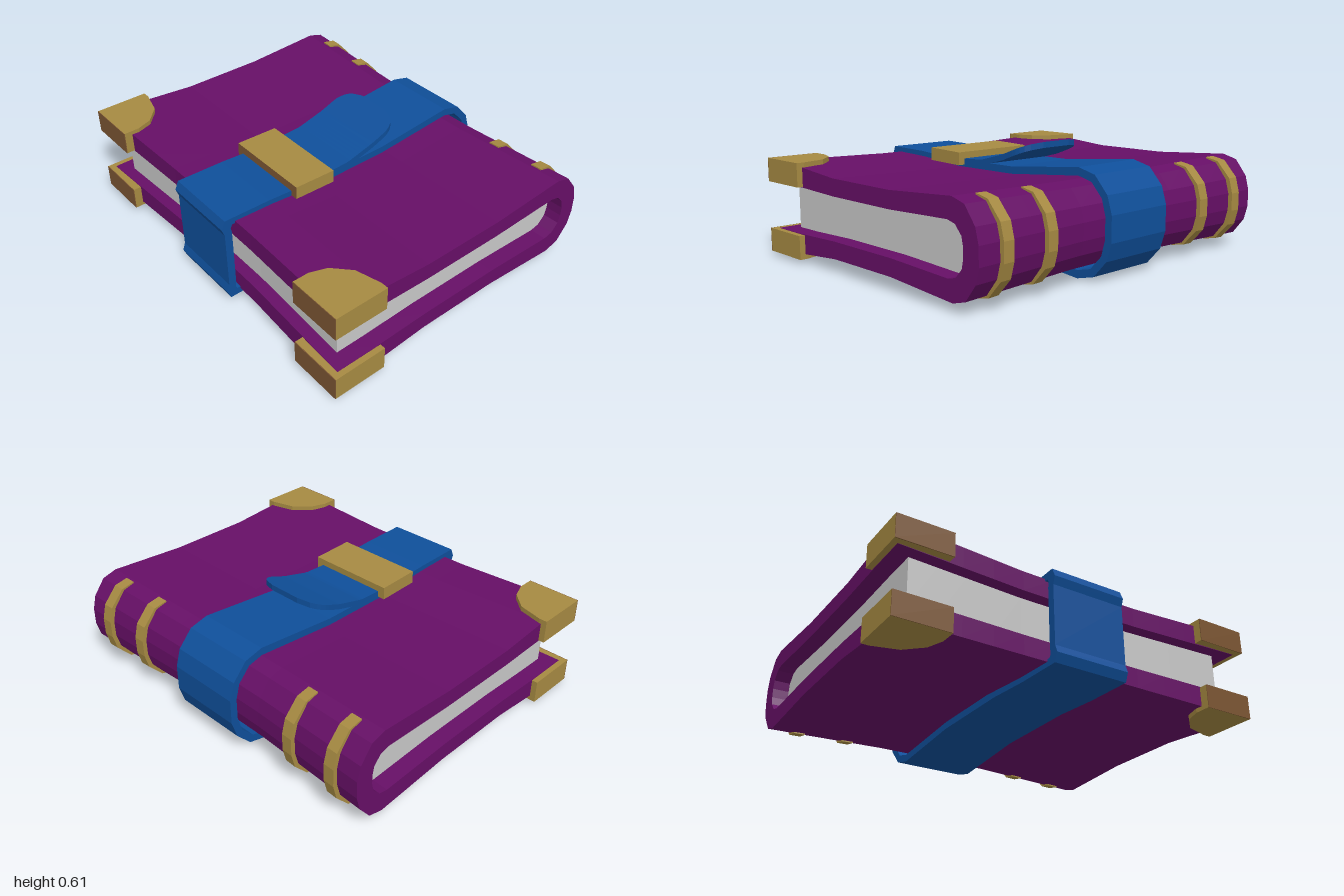
import * as THREE from 'three';

const MID = 0.265; // height of the book's horizontal mirror plane

const mat = (name, color, extra = {}) => {
  const m = new THREE.MeshStandardMaterial({ color, flatShading: true, ...extra });
  m.name = name;
  return m;
};

// Upper half of a (z, y) outline followed by its mirror below MID
const mirrored = pts => [
  ...pts,
  ...[...pts].reverse().map(([z, y]) => [z, 2 * MID - y]),
];

const vectors = pts => pts.map(([a, b]) => new THREE.Vector2(a, b));

// Extrude a (z, y) outline along x, centred on x = cx
function sweep(outline, width, steps = 1, cx = 0, hole = null) {
  const shape = new THREE.Shape(vectors(outline));
  if (hole) shape.holes.push(new THREE.Path(vectors(hole)));
  const geo = new THREE.ExtrudeGeometry(shape, { depth: width, steps, bevelEnabled: false });
  geo.translate(0, 0, -width / 2);
  geo.rotateY(-Math.PI / 2);
  geo.translate(cx, 0, 0);
  return geo;
}

// Pinch the book towards its middle, where the strap squeezes it
function pinch(geo) {
  const p = geo.attributes.position;
  for (let i = 0; i < p.count; i++) {
    const t = THREE.MathUtils.clamp((Math.abs(p.getX(i)) - 0.3) / 0.67, 0, 1);
    p.setY(i, MID + (p.getY(i) - MID) * (0.93 + 0.07 * t));
    p.setZ(i, p.getZ(i) * (0.965 + 0.035 * t));
  }
  geo.computeVertexNormals();
  return geo;
}

// Piecewise linear height along z
function heightAt(path, z) {
  for (let i = 0; i < path.length - 1; i++) {
    const [z0, y0] = path[i], [z1, y1] = path[i + 1];
    if (z >= z0 && z <= z1) return y0 + (y1 - y0) * (z - z0) / (z1 - z0);
  }
  return z < path[0][0] ? path[0][1] : path[path.length - 1][1];
}

// Loose strap end: a thin slab, bent upwards and rounded at its tip
function tongueGeometry() {
  const z0 = -0.285, z1 = 0.25, r = 0.11;
  const geo = new THREE.BoxGeometry(0.4, 0.03, z1 - z0, 1, 1, 24);
  geo.translate(0, 0, (z0 + z1) / 2);
  const path = [[z0, 0.595], [-0.1, 0.525], [0.06, 0.483], [z1, 0.475]];
  const p = geo.attributes.position;
  for (let i = 0; i < p.count; i++) {
    const z = p.getZ(i), d = Math.min(Math.max(z - z0, 0), r);
    const half = 0.2 - r + Math.sqrt(r * r - (r - d) * (r - d));
    p.setX(i, Math.sign(p.getX(i)) * half);
    p.setY(i, p.getY(i) + heightAt(path, z));
  }
  geo.computeVertexNormals();
  return geo;
}

export function createModel() {
  const group = new THREE.Group();
  const purple = mat('purple leather', 0x660f66);
  const blue = mat('blue strap', 0x0f4f9a);
  const gold = mat('gold metal', 0xa68a42);
  const bronze = mat('bronze metal', 0x7c5633);
  const paper = mat('paper', 0xc8c8c8);

  const add = (name, geo, material) => {
    const mesh = new THREE.Mesh(geo, material);
    mesh.name = name;
    group.add(mesh);
    return mesh;
  };

  // Cover: one C-shaped section swept across the book
  const outer = [[0.775, 0.495], [0.55, 0.487], [0.25, 0.462], [-0.2, 0.462], [-0.63, 0.49],
    [-0.71, 0.468], [-0.775, 0.385], [-0.795, 0.31]];
  const inner = [[0.775, 0.387], [0.55, 0.385], [0.25, 0.375], [-0.2, 0.375], [-0.6, 0.39],
    [-0.65, 0.378], [-0.69, 0.335], [-0.7, 0.29]];
  const coverOutline = [...mirrored(outer), ...mirrored(inner).reverse()];
  add('cover', pinch(sweep(coverOutline, 1.94, 12)), purple);

  // Page block fills the inside of the cover
  const pageHalf = [[0.71, 0.388], ...inner.slice(1)];
  add('pages', pinch(sweep(mirrored(pageHalf), 1.77, 12)), paper);

  // Raised bands across the spine
  const bandOuter = [[-0.645, 0.493], [-0.72, 0.478], [-0.797, 0.392], [-0.818, 0.312]];
  const bandInner = [[-0.645, 0.475], [-0.7, 0.455], [-0.76, 0.38], [-0.78, 0.31]];
  const bandOutline = [...mirrored(bandOuter), ...mirrored(bandInner).reverse()];
  for (const x of [-0.82, -0.55, 0.55, 0.82]) {
    add('spineBand', pinch(sweep(bandOutline, 0.06, 1, x)), gold);
  }

  // Metal corners on both boards, with bronze front faces
  const corner = [[1, 0.525], [0.96, 0.525], [0.83, 0.56], [0.745, 0.64], [0.715, 0.725],
    [0.715, 0.808], [1, 0.808]];
  for (const side of [-1, 1]) {
    const shape = new THREE.Shape(vectors(corner.map(([x, z]) => [side * x, -z])));
    for (const [y, h] of [[0.02, 0.122], [0.388, 0.122]]) {
      const geo = new THREE.ExtrudeGeometry(shape, { depth: h, bevelEnabled: false });
      geo.rotateX(-Math.PI / 2);
      geo.translate(0, y, 0);
      add('corner', geo, gold);
      const plate = new THREE.BoxGeometry(0.285, h, 0.004);
      plate.translate(side * 0.8575, y + h / 2, 0.809);
      add('cornerFront', plate, bronze);
    }
  }

  // Strap: a closed loop around the whole book
  const strapOuter = [[0.81, 0.42], [0.824, 0.46], [0.805, 0.505], [0.55, 0.5], [0.3, 0.485],
    [-0.17, 0.487], [-0.62, 0.53], [-0.72, 0.505], [-0.797, 0.42], [-0.825, 0.33]];
  const strapInner = [[0.77, 0.42], [0.775, 0.45], [0.765, 0.467], [0.55, 0.462], [0.3, 0.448],
    [-0.17, 0.45], [-0.62, 0.49], [-0.7, 0.47], [-0.765, 0.4], [-0.787, 0.32]];
  add('strap', sweep(mirrored(strapOuter), 0.4, 1, 0, mirrored(strapInner)), blue);
  add('strapTongue', tongueGeometry(), blue);

  // Buckle
  const buckle = add('buckle', new THREE.BoxGeometry(0.48, 0.068, 0.23),
    [gold, gold, gold, gold, bronze, gold]);
  buckle.position.set(0, 0.497, 0.305);
  buckle.rotation.x = -0.03;

  return group;
}
